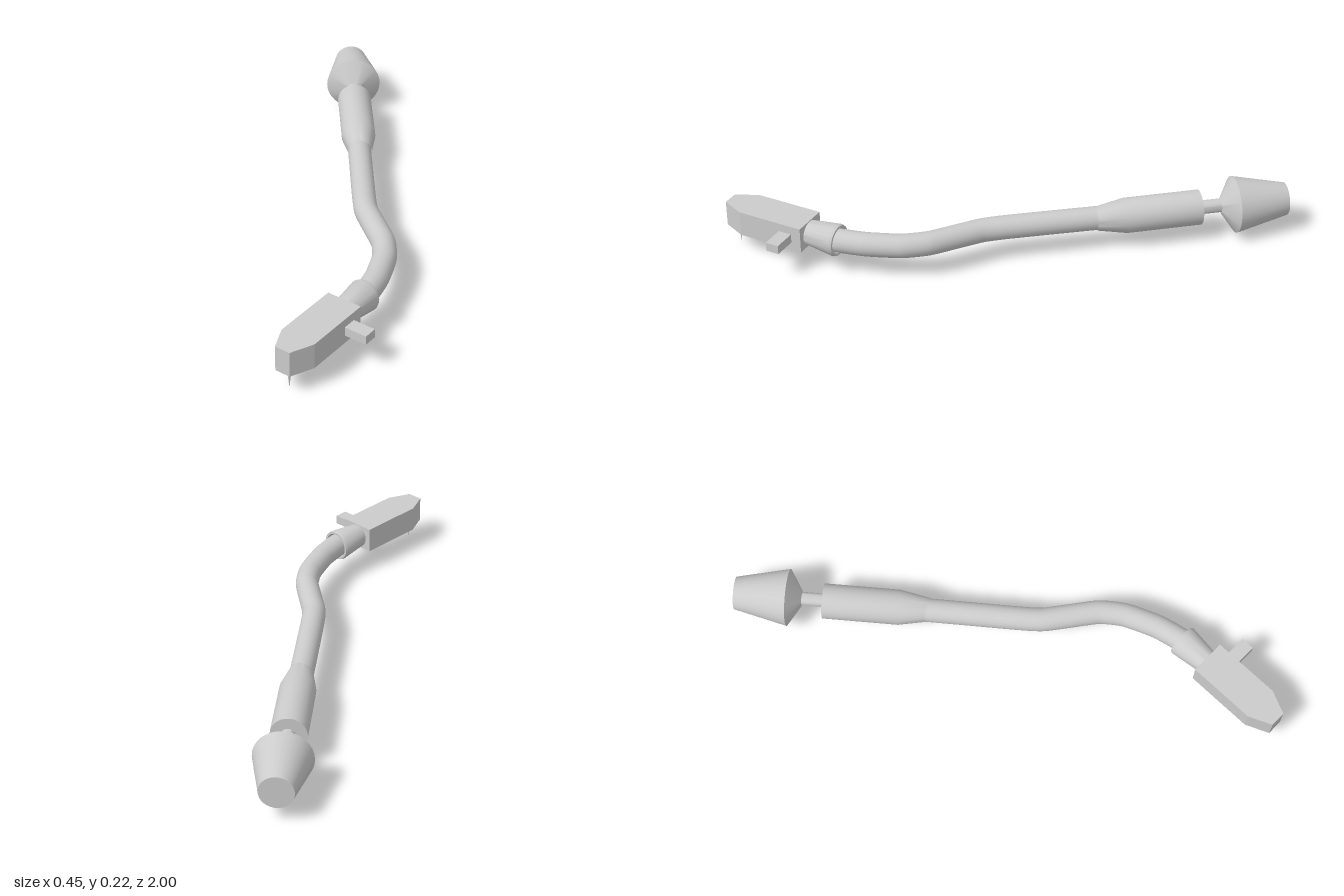
import * as THREE from 'three';
import { toCreasedNormals } from 'three/addons/utils/BufferGeometryUtils.js';

const material = new THREE.MeshStandardMaterial({ color: 0xcccccc });

function add(parent, name, geometry, x = 0, y = 0, z = 0) {
  const mesh = new THREE.Mesh(geometry, material);
  mesh.name = name;
  mesh.position.set(x, y, z);
  parent.add(mesh);
  return mesh;
}

// Turned part: [radius, distance] pairs with crisp rims
function turned(profile) {
  const points = profile.map(([r, d]) => new THREE.Vector2(r, d));
  return toCreasedNormals(new THREE.LatheGeometry(points, 32), 0.5);
}

export function createModel() {
  const model = new THREE.Group();
  model.name = 'tonearm';

  // Rear parts, turned about an axis running towards the back
  const weight = turned([[0, 0.755], [0.026, 0.755], [0.104, 0.805], [0.06, 1], [0, 1]]);
  add(model, 'counterweight', weight, 0.122, 0.118).rotation.x = -Math.PI / 2;
  const stub = turned([[0.025, 0.66], [0.025, 0.77]]);
  add(model, 'weightShaft', stub, 0.121, 0.12).rotation.x = -Math.PI / 2;
  const sleeve = turned([[0.043, 0.29], [0.064, 0.4], [0.064, 0.676], [0, 0.676]]);
  add(model, 'rearSleeve', sleeve, 0.119, 0.121).rotation.x = -Math.PI / 2;

  // Curved arm tube
  const path = [
    [0.117, 0.122, -0.32], [0.115, 0.124, -0.1], [0.114, 0.125, 0.04], [0.118, 0.125, 0.13],
    [0.163, 0.126, 0.32], [0.161, 0.126, 0.42], [0.126, 0.127, 0.54], [0.082, 0.127, 0.63],
    [0.048, 0.127, 0.675],
  ].map((p) => new THREE.Vector3(...p));
  const curve = new THREE.CatmullRomCurve3(path, false, 'catmullrom', 0.25);
  add(model, 'armTube', new THREE.TubeGeometry(curve, 64, 0.043, 24));

  // Angled head, local +z pointing to its tip
  const head = new THREE.Group();
  head.name = 'head';
  head.position.set(0.008, 0.127, 0.722);
  head.rotation.y = -0.681;
  model.add(head);

  const collar = turned([
    [0.036, -0.09], [0.048, -0.12], [0.056, -0.12], [0.059, -0.112], [0.044, 0.01],
  ]);
  add(head, 'collar', collar).rotation.x = Math.PI / 2;

  // Cartridge body with a chamfered nose
  const outline = [[-0.066, 0], [0.066, 0], [0.066, 0.252], [0.029, 0.335], [-0.029, 0.335], [-0.066, 0.252]];
  const shape = new THREE.Shape(outline.map(([x, z]) => new THREE.Vector2(x, z)));
  const body = new THREE.ExtrudeGeometry(shape, { depth: 0.095, bevelEnabled: false });
  body.rotateX(Math.PI / 2);
  add(head, 'cartridge', body, 0, 0.048, 0);

  add(head, 'fingerLift', new THREE.BoxGeometry(0.1, 0.033, 0.05), 0.1, 0, 0.063);

  const needle = new THREE.ConeGeometry(0.008, 0.08, 12);
  needle.rotateX(Math.PI);
  add(head, 'stylus', needle, 0, -0.087, 0.3);

  return model;
}
